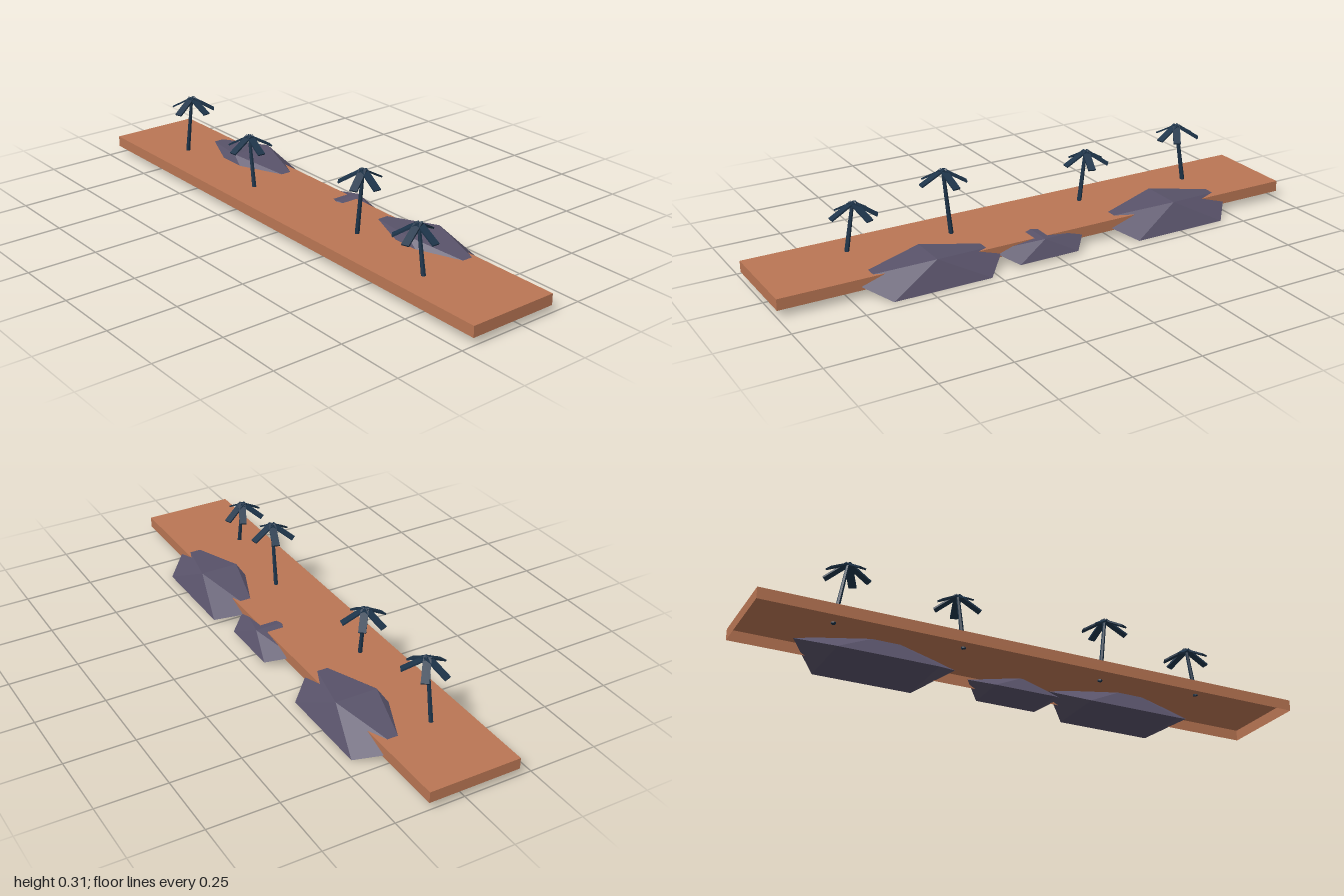
import * as THREE from 'three';
import { ConvexGeometry } from 'three/addons/geometries/ConvexGeometry.js';

const clay = new THREE.MeshStandardMaterial({ color: 0xba7654, side: THREE.DoubleSide });
clay.name = 'clay';
const stone = new THREE.MeshStandardMaterial({ color: 0x59536a, flatShading: true });
stone.name = 'stone';
const palmBlue = new THREE.MeshStandardMaterial({ color: 0x1d344a, flatShading: true });
palmBlue.name = 'palmBlue';

function addMesh(parent, name, geometry, material) {
  const mesh = new THREE.Mesh(geometry, material);
  mesh.name = name;
  parent.add(mesh);
  return mesh;
}

// Shallow tray turned upside down: a box without its bottom face
function groundSlab() {
  const g = new THREE.BoxGeometry(2, 0.04, 0.335);
  const index = Array.from(g.index.array);
  index.splice(18, 6);
  g.setIndex(index);
  g.clearGroups();
  return g.translate(0, 0.047, 0.0375);
}

// Upper half of a stretched icosahedron, closed by a flat base
function rockGeometry(sx, sy, sz) {
  const phi = (1 + Math.sqrt(5)) / 2;
  const points = [];
  for (const s of [-1, 1]) {
    points.push(new THREE.Vector3(0, phi * sy, s * sz));
    points.push(new THREE.Vector3(s * phi * sx, sy, 0));
    for (const t of [-1, 1]) points.push(new THREE.Vector3(s * sx, 0, t * phi * sz));
  }
  return new ConvexGeometry(points);
}

// Leaning trunk with five drooping blades
function palm(baseX, topX, topY, z, angles) {
  const group = new THREE.Group();
  group.name = 'palm';
  const base = new THREE.Vector3(baseX, 0.062, z);
  const top = new THREE.Vector3(topX, topY - 0.004, z);
  const axis = top.clone().sub(base);
  const trunk = addMesh(group, 'trunk', new THREE.CylinderGeometry(0.006, 0.0085, axis.length(), 6), palmBlue);
  trunk.position.copy(base).add(top).multiplyScalar(0.5);
  trunk.quaternion.setFromUnitVectors(new THREE.Vector3(0, 1, 0), axis.normalize());

  const bladeGeometry = new THREE.BoxGeometry(0.094, 0.006, 0.027).translate(0.047, 0, 0);
  for (const degrees of angles) {
    const pivot = new THREE.Group();
    pivot.name = 'leafPivot';
    pivot.position.set(topX, topY - 0.005, z);
    pivot.rotation.y = THREE.MathUtils.degToRad(degrees);
    addMesh(pivot, 'leaf', bladeGeometry, palmBlue).rotation.z = -0.52;
    group.add(pivot);
  }
  return group;
}

export function createModel() {
  const model = new THREE.Group();
  model.name = 'desertStrip';
  addMesh(model, 'ground', groundSlab(), clay);

  // Rocks: centre x, base y, centre z, then scale
  const rocks = [
    [-0.5, 0, -0.08, 0.18, 0.058, 0.078],
    [0.455, 0, -0.095, 0.18, 0.057, 0.071],
    [0.04, 0.011, -0.11, 0.115, 0.0365, 0.05],
  ];
  for (const [x, y, z, sx, sy, sz] of rocks) {
    addMesh(model, 'rock', rockGeometry(sx, sy, sz), stone).position.set(x, y, z);
  }

  // Palms: trunk foot x, crown x, crown height, z, leaf directions
  model.add(palm(-0.707, -0.668, 0.295, 0.072, [8, 58, 142, 200, 287]));
  model.add(palm(-0.252, -0.277, 0.26, 0.087, [-4, 75, 142, 200, 277]));
  model.add(palm(0.29, 0.317, 0.311, 0.056, [-5, 98, 162, 224, 297]));
  model.add(palm(0.664, 0.634, 0.243, 0.097, [0, 110, 155, 223, 288]));
  return model;
}
